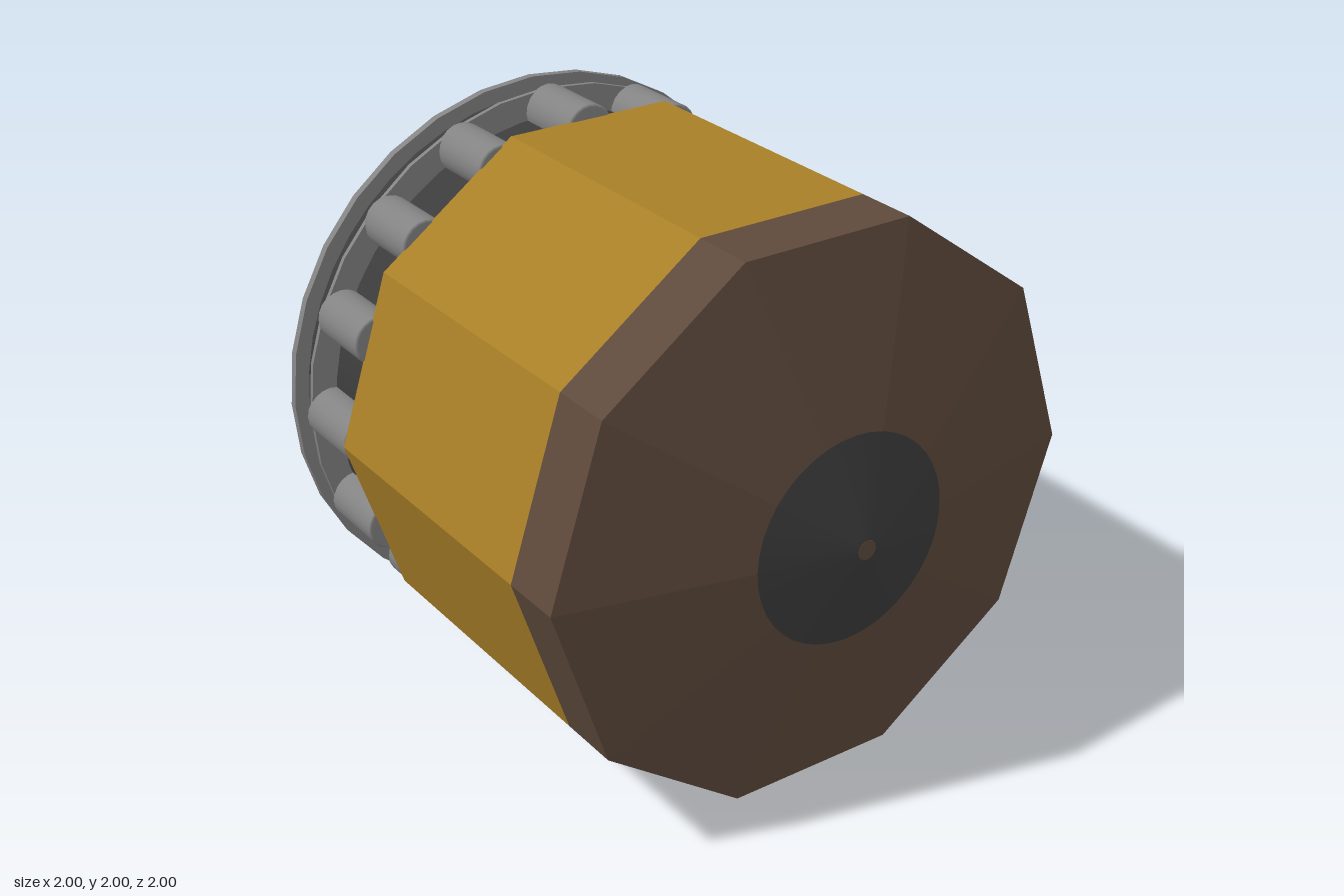
import * as THREE from 'three';

const mat = (name, color) => Object.assign(new THREE.MeshStandardMaterial({ color }), { name });

export function createModel() {
  const yellow = mat('ochre', 0xa87f27);
  const brown = mat('brown', 0x5e4a3c);
  const dark = mat('charcoal', 0x3c3c3c);
  const grey = mat('grey', 0x848484);
  const red = mat('dull red', 0xab5656);

  const group = new THREE.Group();
  group.name = 'capsule';
  const axis = new THREE.Group();
  axis.name = 'barrel';
  axis.position.y = 1;
  group.add(axis);

  const add = (name, geo, material, parent = axis) => {
    const mesh = new THREE.Mesh(geo, material);
    mesh.name = name;
    parent.add(mesh);
    return mesh;
  };

  // Drum lying along x, from x0 (radius r0) to x1 (radius r1)
  const drum = (x0, x1, r0, r1, sides, open = false) =>
    new THREE.CylinderGeometry(r1, r0, x1 - x0, sides, 1, open)
      .rotateZ(-Math.PI / 2)
      .translate((x0 + x1) / 2, 0, 0);

  // Same drum with hard facets
  const faceted = (...args) => {
    const geo = drum(...args).toNonIndexed();
    geo.computeVertexNormals();
    return geo;
  };

  // Ten-sided body, collar and shallow pointed end
  add('body', faceted(-0.527, 0.545, 1, 1, 10), yellow);
  add('collar', faceted(0.545, 0.767, 1, 1, 10), brown);
  add('pointedEnd', faceted(0.767, 0.998, 1, 0.035, 10), brown);
  add('noseCone', drum(0.921, 0.999, 0.362, 0.038, 40), dark);
  add('noseTip', drum(0.996, 1, 0.036, 0.034, 12), brown);

  // Dark neck with two thin flanges
  add('neck', drum(-0.8, -0.52, 0.89, 0.89, 48), dark);
  add('rearNeck', drum(-0.932, -0.8, 0.945, 0.945, 48), dark);
  add('rearFlange', drum(-0.917, -0.888, 1, 1, 32), grey);
  add('studFlange', drum(-0.805, -0.788, 0.985, 0.985, 32), grey);

  // Ring of rods around the neck, each with a softened outer end
  const rodProfile = [[0, 0], [0.09, 0], [0.09, 0.262], [0.082, 0.271], [0, 0.271]]
    .map(([r, h]) => new THREE.Vector2(r, h));
  const rodGeo = new THREE.LatheGeometry(rodProfile, 20)
    .rotateZ(-Math.PI / 2)
    .translate(-0.792, 0, 0);
  const rods = new THREE.Group();
  rods.name = 'rods';
  axis.add(rods);
  for (let i = 0; i < 16; i++) {
    const a = (i / 16) * Math.PI * 2;
    add('rod', rodGeo, grey, rods).position.set(0, Math.sin(a) * 0.91, Math.cos(a) * 0.91);
  }

  // Red end plate with a small rounded edge
  add('endPlateSide', drum(-0.985, -0.925, 0.94, 0.94, 48, true), red);
  add('endPlateFace', drum(-1, -0.985, 0.925, 0.94, 48), red);

  return group;
}
